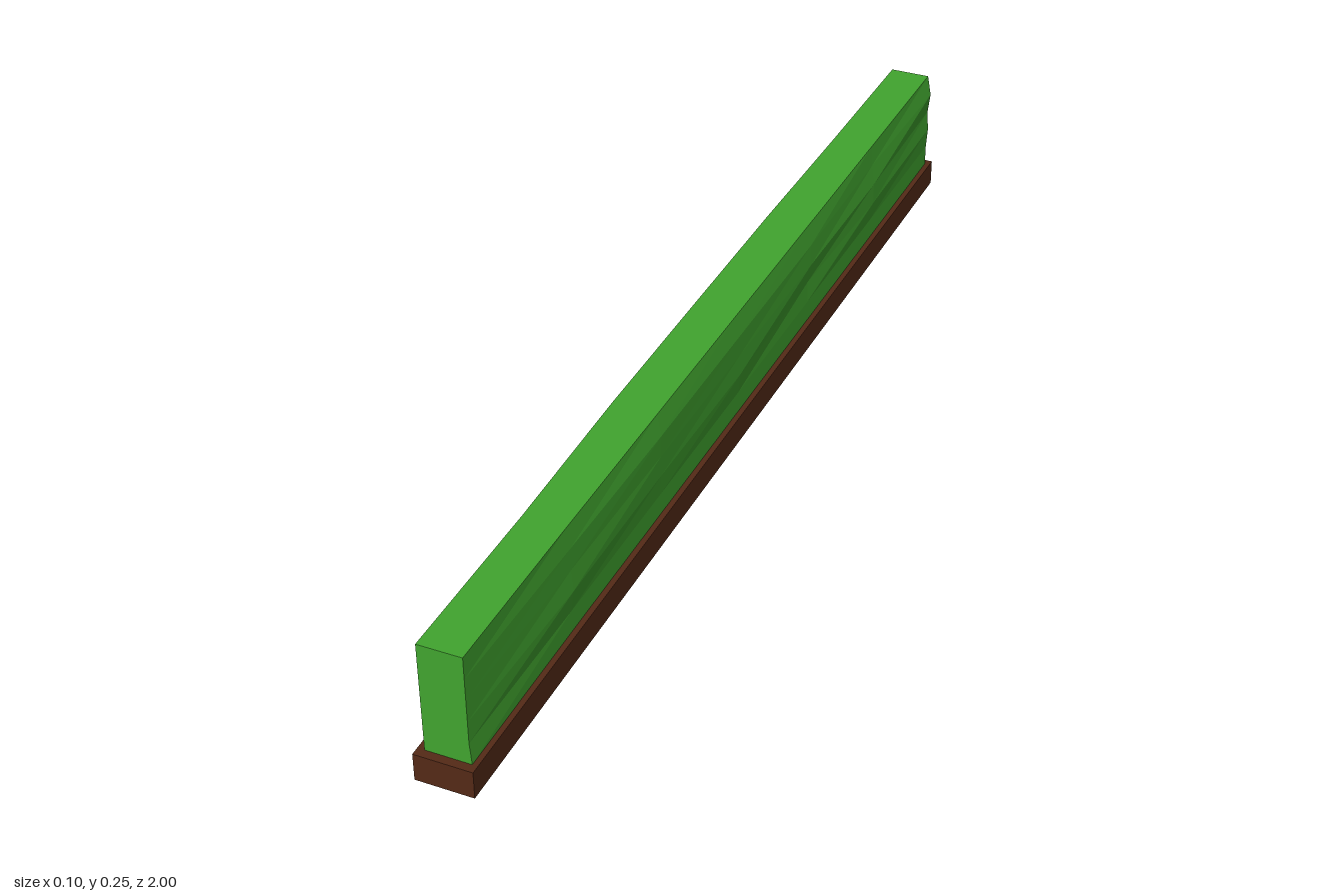
import * as THREE from 'three';

// Repeatable value in -1..1 for a grid point
function wobble(row, station, side) {
  const s = Math.sin(row * 12.99 + station * 78.23 + side * 37.72) * 43758.55;
  return (s - Math.floor(s)) * 2 - 1;
}

function createHedge() {
  const height = 0.2, length = 1.97, rows = 5, stations = 6;
  const geometry = new THREE.BoxGeometry(0.084, height, length, 1, rows, stations);
  const p = geometry.attributes.position;
  // Push the long sides in and out for an uneven clipped surface
  for (let i = 0; i < p.count; i++) {
    const side = Math.sign(p.getX(i));
    const row = Math.round((p.getY(i) / height + 0.5) * rows);
    const station = Math.round((p.getZ(i) / length + 0.5) * stations);
    let x = 0.042 + 0.004 * wobble(row, station, side);
    if (station === stations) x = side < 0 || row > 0 ? 0.038 : 0.041; // front end
    else if (side > 0 && row === rows) x = 0.037; // straight top edge
    else if (side > 0 && row < 2) x = 0.04;
    p.setX(i, side * x);
  }
  const flat = geometry.toNonIndexed();
  flat.computeVertexNormals();
  const hedge = new THREE.Mesh(flat, new THREE.MeshStandardMaterial({ color: 0x41a52f, flatShading: true }));
  hedge.name = 'hedge';
  hedge.position.y = 0.05 + height / 2;
  return hedge;
}

export function createModel() {
  const group = new THREE.Group();
  group.name = 'hedgeRow';

  // Soil strip underneath
  const soil = new THREE.Mesh(
    new THREE.BoxGeometry(0.1, 0.05, 2),
    new THREE.MeshStandardMaterial({ color: 0x542a17 })
  );
  soil.name = 'soilBase';
  soil.position.y = 0.025;

  group.add(soil, createHedge());
  return group;
}
